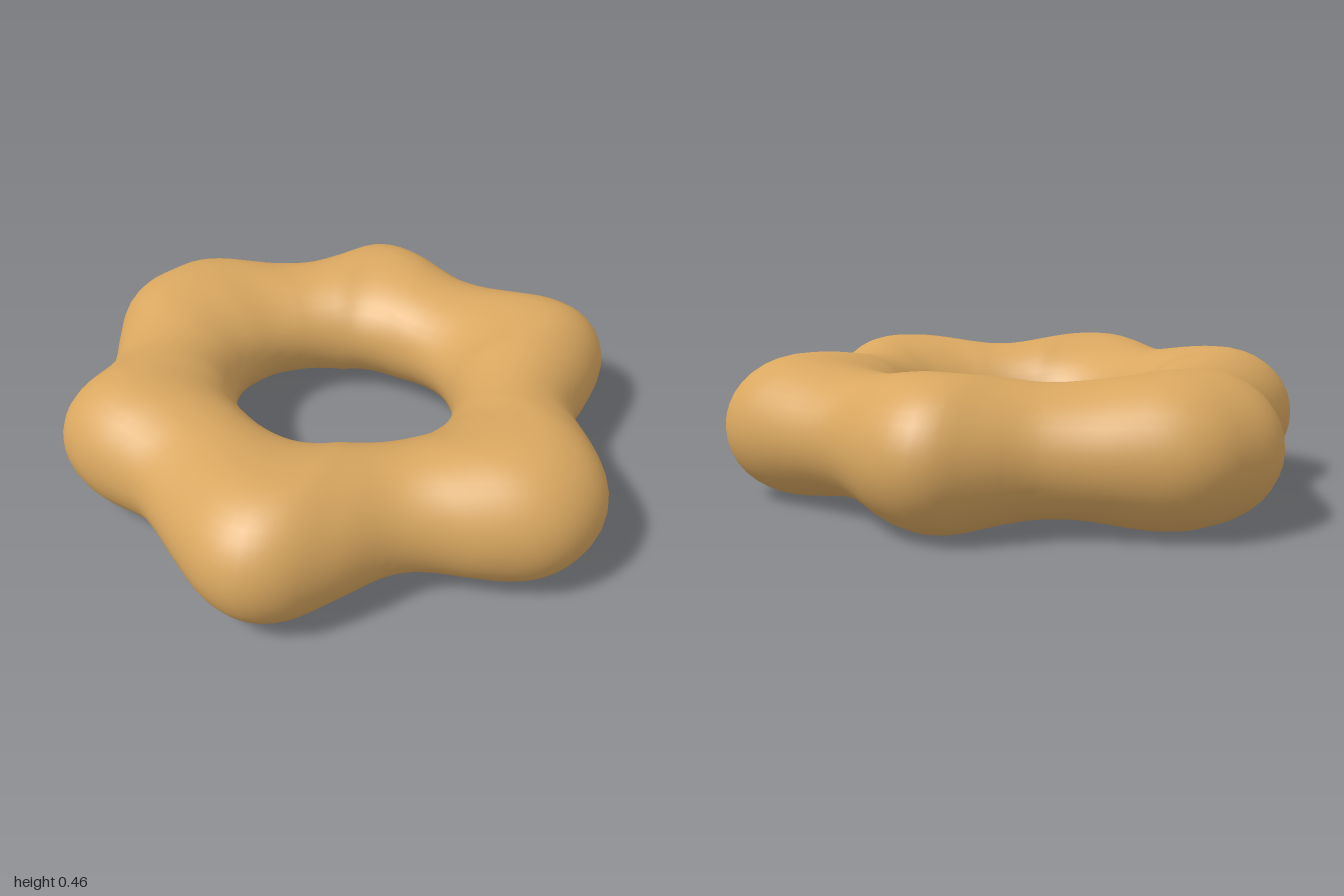
import * as THREE from 'three';

const RING_STEPS = 144, SECTION_STEPS = 36;

// Half of the lobed outer outline (x, z), from the front tip round to the back tip
const HALF = [
  [0, 0.997], [0.09, 0.985], [0.17, 0.945], [0.27, 0.84], [0.37, 0.7], [0.46, 0.63],
  [0.65, 0.575], [0.81, 0.515], [0.89, 0.43], [0.912, 0.31], [0.885, 0.17], [0.837, 0],
  [0.815, -0.1], [0.825, -0.2], [0.838, -0.33], [0.815, -0.47], [0.76, -0.545],
  [0.65, -0.595], [0.5, -0.66], [0.41, -0.74], [0.32, -0.84], [0.2, -0.955],
  [0.11, -0.994], [0, -1],
];

function outlineCurve() {
  const mirrored = HALF.slice(1, -1).reverse().map(([x, z]) => [-x, z]);
  const points = [...HALF, ...mirrored].map(([x, z]) => new THREE.Vector3(x, 0, z));
  return new THREE.CatmullRomCurve3(points, true, 'centripetal');
}

// Closed ring of oval sections, thicker at each of the six lobes
function lobedRing() {
  const curve = outlineCurve();
  const positions = [], index = [];
  for (let i = 0; i < RING_STEPS; i++) {
    const p = curve.getPointAt(i / RING_STEPS);
    const angle = Math.atan2(p.x, p.z);
    const outer = Math.hypot(p.x, p.z);
    const inner = 1 / Math.hypot(Math.sin(angle) / 0.35, Math.cos(angle) / 0.385);
    const crest = Math.max((outer + inner) / 2, outer - 0.25);
    const halfHeight = 0.213 + 0.017 * Math.cos(6 * angle);
    for (let j = 0; j < SECTION_STEPS; j++) {
      const phi = (j / SECTION_STEPS) * Math.PI * 2;
      const c = Math.cos(phi);
      const r = crest + c * (c > 0 ? outer - crest : crest - inner);
      positions.push(r * Math.sin(angle), 0.23 + halfHeight * Math.sin(phi), r * Math.cos(angle));

      const i2 = (i + 1) % RING_STEPS, j2 = (j + 1) % SECTION_STEPS;
      const a = i * SECTION_STEPS + j, b = i2 * SECTION_STEPS + j;
      const d = i2 * SECTION_STEPS + j2, e = i * SECTION_STEPS + j2;
      index.push(a, b, d, a, d, e);
    }
  }
  const geometry = new THREE.BufferGeometry();
  geometry.setAttribute('position', new THREE.Float32BufferAttribute(positions, 3));
  geometry.setIndex(index);
  geometry.computeVertexNormals();
  return geometry;
}

export function createModel() {
  const dough = new THREE.MeshStandardMaterial({ color: 0xd9a760 });
  dough.name = 'golden dough';

  const group = new THREE.Group();
  group.name = 'lobedRingDoughnut';
  const ring = new THREE.Mesh(lobedRing(), dough);
  ring.name = 'doughRing';
  group.add(ring);
  return group;
}
